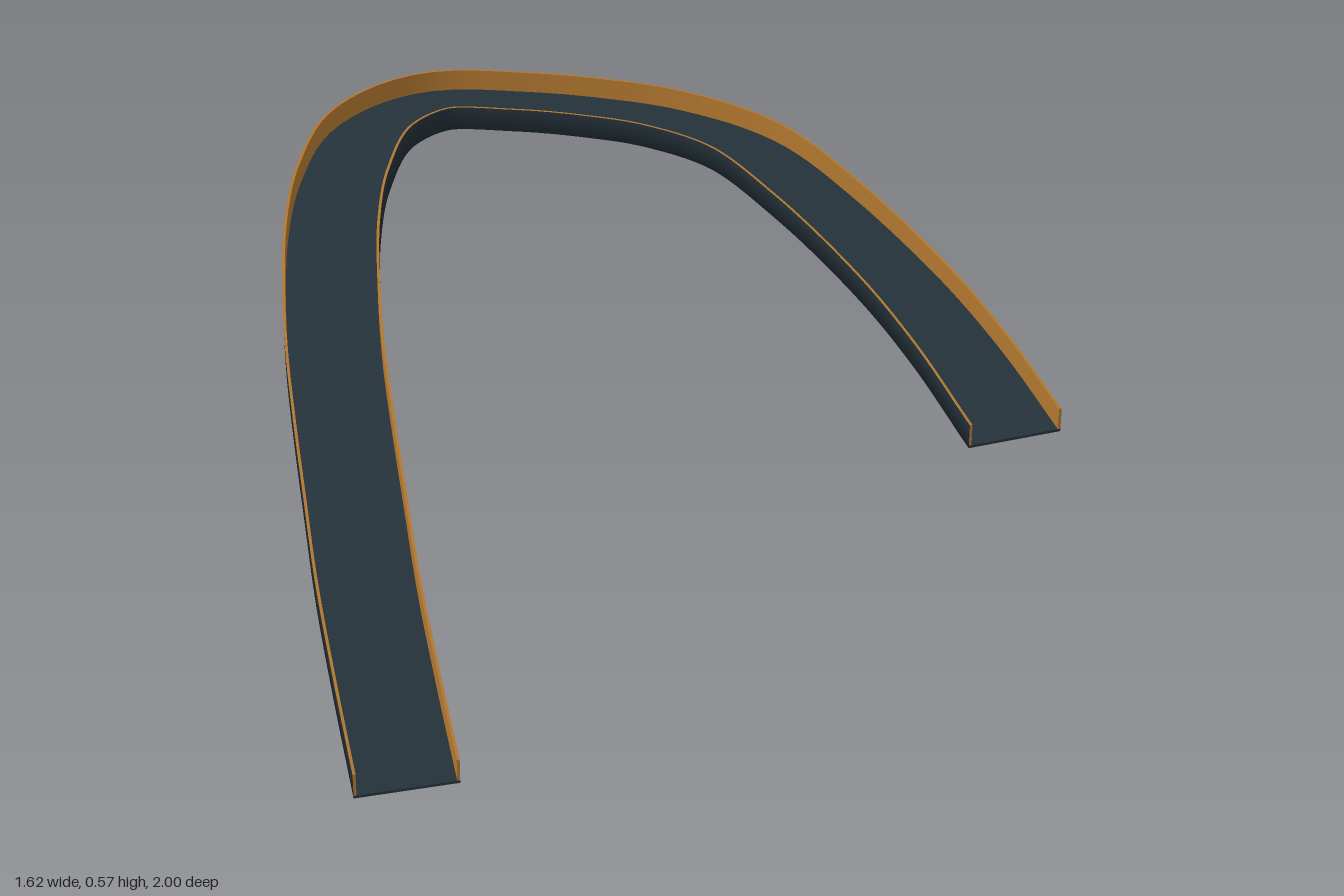
import * as THREE from 'three';

const HALF = 0.105, HEIGHT = 0.055, SKIN = 0.006, STEPS = 120;

// Centre line along the underside of the channel
const path = new THREE.CatmullRomCurve3([
  [-0.705, 0.004, 0.996], [-0.7, 0.102, 0.8], [-0.69, 0.19, 0.6], [-0.671, 0.268, 0.4],
  [-0.65, 0.333, 0.2], [-0.625, 0.388, 0], [-0.59, 0.437, -0.2], [-0.545, 0.477, -0.4],
  [-0.478, 0.504, -0.6], [-0.362, 0.518, -0.81], [-0.2, 0.522, -0.897], [0, 0.515, -0.855],
  [0.16, 0.509, -0.788], [0.3, 0.502, -0.705], [0.446, 0.486, -0.557], [0.542, 0.454, -0.32],
  [0.64, 0.392, 0], [0.685, 0.347, 0.25], [0.705, 0.308, 0.54],
].map((p) => new THREE.Vector3(...p)), false, 'centripetal');

// Point at fraction t, u to the side and v above the centre line
const frames = Array.from({ length: STEPS + 1 }, (_, i) => {
  const t = path.getTangentAt(i / STEPS);
  return { p: path.getPointAt(i / STEPS), side: new THREE.Vector3(-t.z, 0, t.x).normalize() };
});
const at = (i, u, v) => {
  const { p, side } = frames[i];
  return [p.x + side.x * u, p.y + v, p.z + side.z * u];
};

function build(points, index) {
  const g = new THREE.BufferGeometry();
  g.setAttribute('position', new THREE.Float32BufferAttribute(points.flat(), 3));
  g.setIndex(index);
  g.computeVertexNormals();
  return g;
}

// Sweep an open profile along the whole track
function sweep(profile) {
  const n = profile.length, points = [], index = [];
  for (let i = 0; i <= STEPS; i++) {
    for (const [u, v] of profile) points.push(at(i, u, v));
    if (i === STEPS) continue;
    for (let j = 0; j < n - 1; j++) {
      const a = i * n + j, c = a + n;
      index.push(a, a + 1, c, a + 1, c + 1, c);
    }
  }
  return build(points, index);
}

// Flat rectangle closing the section at either end
function cap(i, u0, u1, v0, v1) {
  const points = [at(i, u0, v0), at(i, u1, v0), at(i, u1, v1), at(i, u0, v1)];
  return build(points, i === 0 ? [0, 1, 2, 0, 2, 3] : [0, 2, 1, 0, 3, 2]);
}

export function createModel() {
  const group = new THREE.Group();
  const dark = new THREE.MeshStandardMaterial({ name: 'dark slate', color: 0x25323a, side: THREE.DoubleSide });
  const gold = new THREE.MeshStandardMaterial({ name: 'bronze', color: 0xb0762f, side: THREE.DoubleSide });
  const add = (name, geometry, material) => {
    const mesh = new THREE.Mesh(geometry, material);
    mesh.name = name;
    group.add(mesh);
  };
  const inner = HALF - SKIN;

  // Smooth outer shell and the running surface
  add('outerShell', sweep([[HALF, HEIGHT], [HALF, 0], [-HALF, 0], [-HALF, HEIGHT]]), dark);
  add('floor', sweep([[-inner, SKIN], [inner, SKIN]]), dark);

  // Inner wall faces and rims
  add('leftWall', sweep([[-inner, HEIGHT], [-inner, SKIN]]), gold);
  add('rightWall', sweep([[inner, SKIN], [inner, HEIGHT]]), gold);
  add('leftRim', sweep([[-HALF, HEIGHT], [-inner, HEIGHT]]), gold);
  add('rightRim', sweep([[inner, HEIGHT], [HALF, HEIGHT]]), gold);

  // End faces
  for (const [name, i] of [['start', 0], ['finish', STEPS]]) {
    add(name + 'FloorEnd', cap(i, -HALF, HALF, 0, SKIN), dark);
    add(name + 'LeftWallEnd', cap(i, -HALF, -inner, SKIN, HEIGHT), gold);
    add(name + 'RightWallEnd', cap(i, inner, HALF, SKIN, HEIGHT), gold);
  }
  return group;
}
